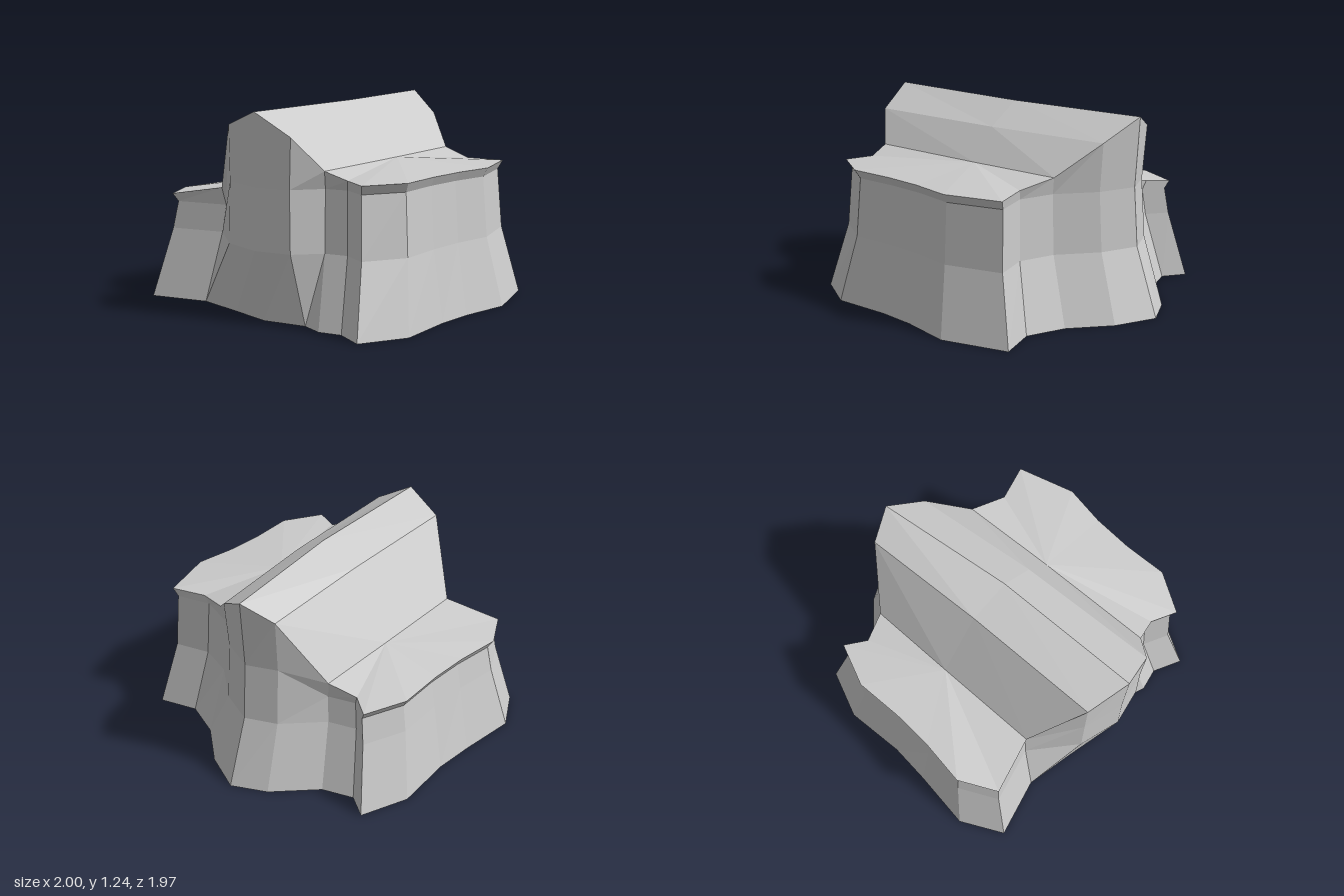
import * as THREE from 'three';

// Columns around the outline, counter-clockwise from above, starting front left:
// [base x, base z, rim x, rim y, rim z]
const COLUMNS = [
  [-1.0, 0.66, -0.91, 0.65, 0.57], [-0.85, 0.92, -0.78, 0.65, 0.80], [-0.485, 0.81, -0.44, 0.71, 0.70],
  [-0.17, 0.86, -0.16, 1.14, 0.91], [0.11, 0.91, 0.11, 1.235, 0.975], [0.38, 0.85, 0.34, 1.10, 0.92],
  [0.52, 0.895, 0.47, 0.905, 0.78], [0.66, 0.86, 0.61, 0.86, 0.745], [0.84, 0.94, 0.77, 0.855, 0.815],
  [0.985, 0.66, 0.905, 0.855, 0.57], [0.95, 0.29, 0.88, 0.855, 0.29], [0.955, 0.05, 0.88, 0.855, 0.04],
  [1.0, -0.27, 0.91, 0.855, -0.22], [0.86, -0.68, 0.79, 0.855, -0.57], [0.62, -0.60, 0.57, 0.86, -0.50],
  [0.38, -0.69, 0.35, 0.905, -0.57], [0.14, -0.88, 0.12, 1.10, -0.75], [-0.12, -0.99, -0.11, 1.235, -0.84],
  [-0.33, -0.88, -0.30, 1.14, -0.75], [-0.56, -0.64, -0.51, 0.71, -0.53], [-0.75, -0.57, -0.68, 0.66, -0.47],
  [-0.89, -0.66, -0.81, 0.65, -0.56], [-1.0, -0.36, -0.91, 0.65, -0.29], [-0.96, 0.02, -0.885, 0.65, 0.02],
  [-0.97, 0.28, -0.885, 0.65, 0.28],
];
// x of the ridge's fold lines half way back
const FOLD_X = [-0.48, -0.22, 0.04, 0.25, 0.41];
const FIRST = 2, LAST = 6, OPPOSITE = 21; // front column i folds back to column 21 - i

const v = (x, y, z) => new THREE.Vector3(x, y, z);
const base = COLUMNS.map(([x, z]) => v(x, 0, z));
const rim = COLUMNS.map(([, , x, y, z]) => v(x, y, z));
const isRidgeFront = (i) => i >= 3 && i <= 5;
const middle = rim.map((p, i) => v(p.x, 0.43, p.z * (isRidgeFront(i) ? 1.01 : 1)));
const neck = rim.map((p, i) => {
  const s = 0.968;
  return v(p.x * s, p.x < -0.4 ? 0.6 : 0.8, p.z * (isRidgeFront(i) ? 1 : s));
});
const folds = FOLD_X.map((x, k) => v(x, rim[FIRST + k].y, 0.03));

function surface(name, triangles) {
  const geometry = new THREE.BufferGeometry().setFromPoints(triangles);
  geometry.computeVertexNormals();
  const material = new THREE.MeshStandardMaterial({ color: 0xcccccc, flatShading: true });
  const mesh = new THREE.Mesh(geometry, material);
  mesh.name = name;
  return mesh;
}

// Closed band between two rings
function band(lower, upper) {
  return lower.flatMap((a, i) => {
    const j = (i + 1) % lower.length;
    return [a, lower[j], upper[j], a, upper[j], upper[i]];
  });
}

// Fan from a centre through a run of points
function fan(centre, points) {
  return points.slice(1).flatMap((p, i) => [centre, points[i], p]);
}

export function createModel() {
  const group = new THREE.Group();
  group.name = 'rockBlock';

  // Flared foot, upright wall and overhanging rim
  group.add(surface('rockFoot', band(base, middle)));
  group.add(surface('rockWall', band(middle, neck)));
  group.add(surface('rockRim', band(neck, rim)));

  // Raised ridge running front to back
  const ridge = [];
  for (let i = FIRST; i < LAST; i++) {
    const a = folds[i - FIRST], b = folds[i - FIRST + 1];
    const backA = rim[OPPOSITE - i], backB = rim[OPPOSITE - i - 1];
    ridge.push(rim[i], rim[i + 1], b, rim[i], b, a);
    ridge.push(a, b, backB, a, backB, backA);
  }
  group.add(surface('ridge', ridge));

  // Flat ledges on either side
  group.add(surface('highLedge', fan(folds[4], rim.slice(6, 16))));
  group.add(surface('lowLedge', fan(folds[0], [...rim.slice(19), ...rim.slice(0, 3)])));

  // Underside
  group.add(surface('underside', fan(v(0, 0, 0), [...base, base[0]].reverse())));
  return group;
}
